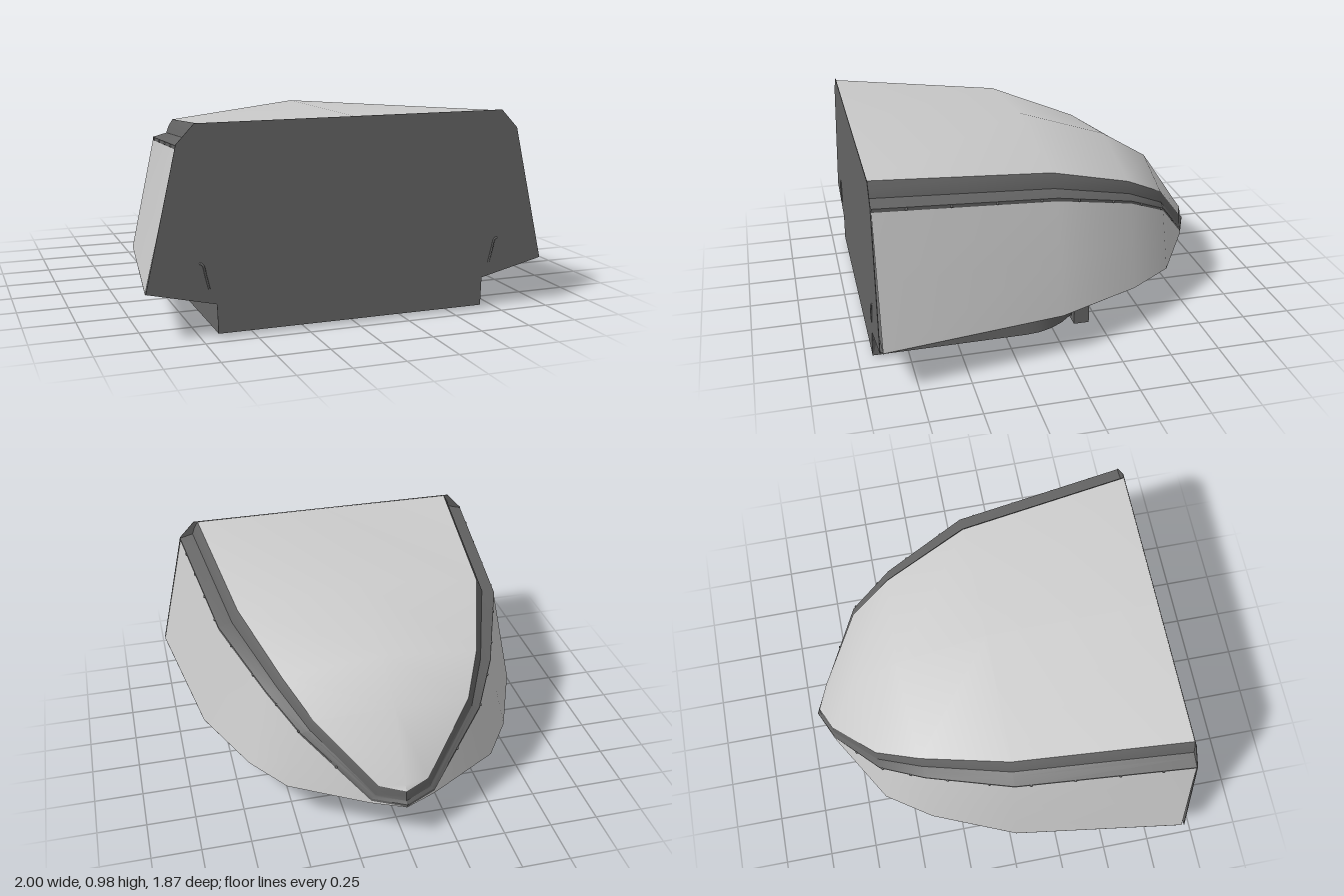
import * as THREE from 'three';
import { toCreasedNormals } from 'three/addons/utils/BufferGeometryUtils.js';

const grey = new THREE.MeshStandardMaterial({ color: 0xcccccc, side: THREE.DoubleSide });
const dark = new THREE.MeshStandardMaterial({ color: 0x656565, side: THREE.DoubleSide });

// Ribs from the open front to the nose: bottom edge, wall top, roof edge, roof crown
const ribs = [
  { bottom: [1, 0.228, 0.91], wall: [0.85, 0.868, 0.91], roof: [0.742, 0.977, 0.91], crown: [0, 0.978, 0.91] },
  { bottom: [0.875, 0.226, 0.02], wall: [0.755, 0.782, 0.02], roof: [0.65, 0.885, 0.02], crown: [0, 0.96, 0.02] },
  { bottom: [0.695, 0.225, -0.41], wall: [0.59, 0.648, -0.41], roof: [0.505, 0.732, -0.42], crown: [0, 0.8, -0.45] },
  { bottom: [0.54, 0.225, -0.64], wall: [0.46, 0.525, -0.635], roof: [0.395, 0.605, -0.64], crown: [0, 0.65, -0.69] },
  { bottom: [0.165, 0.225, -0.865], wall: [0.162, 0.238, -0.864], roof: [0.125, 0.325, -0.865], crown: [0, 0.335, -0.9] },
  { bottom: [0, 0.225, -0.94], wall: [0, 0.228, -0.94], roof: [0, 0.31, -0.92], crown: [0, 0.31, -0.92] },
];

const mix = (a, b, t) => a.map((v, i) => v + (b[i] - v) * t);
const flip = ([x, y, z]) => [-x, y, z];

// Surface through equally long rows of points
function loft(rows) {
  const n = rows[0].length;
  const index = [];
  for (let r = 0; r < rows.length - 1; r++) {
    for (let i = 0; i < n - 1; i++) {
      const a = r * n + i, b = a + n;
      index.push(a, b, a + 1, b, b + 1, a + 1);
    }
  }
  const g = new THREE.BufferGeometry();
  g.setAttribute('position', new THREE.Float32BufferAttribute(rows.flat(2), 3));
  g.setIndex(index);
  g.computeVertexNormals();
  return g;
}

// Rows run down one side, round the nose and back up the other
function aroundNose(rowOf) {
  const side = ribs.map(rowOf);
  return [...side, ...side.slice(0, -1).reverse().map((row) => row.map(flip))];
}

// Stepped channel between roof and side wall
function channelRow({ wall, roof }) {
  const at = (tx, ty) => {
    const p = mix(roof, wall, tx);
    p[1] = roof[1] + (wall[1] - roof[1]) * ty;
    return p;
  };
  return [at(0, 0), at(0.2, 0.32), at(0.32, 0.66), at(0.55, 0.72), at(1, 0.84), at(1, 1)];
}

function polygon(points) {
  return new THREE.Shape(points.map(([x, y]) => new THREE.Vector2(x, y)));
}

const mirrored = (points) => [...points, ...points.map(([x, y]) => [-x, y]).reverse()];

export function createModel() {
  const model = new THREE.Group();
  const add = (name, geometry, material = dark, parent = model) => {
    const mesh = new THREE.Mesh(geometry, material);
    mesh.name = name;
    parent.add(mesh);
    return mesh;
  };

  // Outer shell
  add('sideWalls', loft(aroundNose(({ bottom, wall }) => [wall, mix(wall, bottom, 0.5), bottom])), grey);
  add('edgeChannel', toCreasedNormals(loft(aroundNose(channelRow)), 0.45));
  add('roof', loft(ribs.map(({ roof, crown }) => [flip(roof), crown, roof])), grey);

  // Flat front, leaning back slightly
  const front = polygon(mirrored([[0.67, 0.016], [0.675, 0.155], [1, 0.23], [0.85, 0.89], [0.765, 0.98]]));
  const panel = add('frontPanel', new THREE.ExtrudeGeometry(front, { depth: 0.003, bevelEnabled: false }));
  panel.position.z = 0.926;
  panel.rotation.x = -0.017;

  // Underside of the shell
  const outline = mirrored(ribs.map(({ bottom }) => [bottom[0], -bottom[2]]));
  const underside = add('underside', new THREE.ShapeGeometry(polygon(outline)));
  underside.rotation.x = -Math.PI / 2;
  underside.position.y = 0.225;

  // Lower tub with a rounded back: straight sides, then a quarter ellipse to the centre line
  const ring = (y, frontX, frontZ, midX, backZ) => {
    const half = [[frontX, y, frontZ]];
    for (let i = 0; i <= 10; i++) {
      const a = (i / 10) * Math.PI / 2;
      half.push([midX * Math.cos(a), y, 0.15 + (backZ - 0.15) * Math.sin(a)]);
    }
    return [...half, ...half.slice(0, -1).map(flip).reverse()];
  };
  const rings = [
    ring(0.017, 0.67, 0.926, 0.67, -0.3),
    ring(0.155, 0.66, 0.885, 0.66, -0.35),
    ring(0.226, 0.985, 0.915, 0.87, -0.357),
  ];
  add('tubWalls', toCreasedNormals(loft(rings), 0.5));
  const floor = add('tubFloor', new THREE.ShapeGeometry(polygon(rings[0].map(([x, , z]) => [x, -z]))));
  floor.rotation.x = -Math.PI / 2;
  floor.position.y = 0.017;

  // Fairings joining the tub sides to the front panel
  const fairing = [[0.67, 0.017, 0.926], [0.675, 0.155, 0.923], [0.99, 0.228, 0.92]];
  const inner = [rings[0][0], rings[1][0], rings[2][0]];
  add('leftFairing', toCreasedNormals(loft([fairing, inner]), 0.3));
  add('rightFairing', toCreasedNormals(loft([fairing.map(flip), inner.map(flip)]), 0.3));

  // T-shaped skid under the floor, with a post at each end
  const box = (name, w, h, d, x, y, z) => {
    add(name, new THREE.BoxGeometry(w, h, d)).position.set(x, y, z);
  };
  box('skidStem', 0.27, 0.02, 0.42, 0, 0.01, 0.09);
  box('skidBar', 1.2, 0.02, 0.08, 0, 0.01, -0.16);

  for (const s of [1, -1]) {
    box('skidPost', 0.05, 0.215, 0.08, s * 0.575, 0.1175, -0.16);

    // Small hook on the front panel
    const hook = new THREE.CatmullRomCurve3([
      [0.755, 0.35, 0.92], [0.74, 0.345, 0.926], [0.725, 0.29, 0.927], [0.71, 0.23, 0.925],
    ].map(([x, y, z]) => new THREE.Vector3(s * x, y, z)));
    add('frontHook', new THREE.TubeGeometry(hook, 12, 0.005, 6));

    // Studs along the top of the side wall
    const studs = new THREE.Group();
    studs.name = 'wallStuds';
    model.add(studs);
    for (const z of [0.75, 0.54, 0.32, 0.1, -0.1, -0.3, -0.48, -0.62, -0.75]) {
      const i = ribs.findIndex((r) => r.wall[2] < z);
      const a = ribs[i - 1].wall, b = ribs[i].wall;
      const [x, y] = mix(a, b, (z - a[2]) / (b[2] - a[2]));
      add('stud', new THREE.SphereGeometry(0.007, 8, 6), dark, studs).position.set(s * x, y + 0.008, z);
    }
  }
  return model;
}
